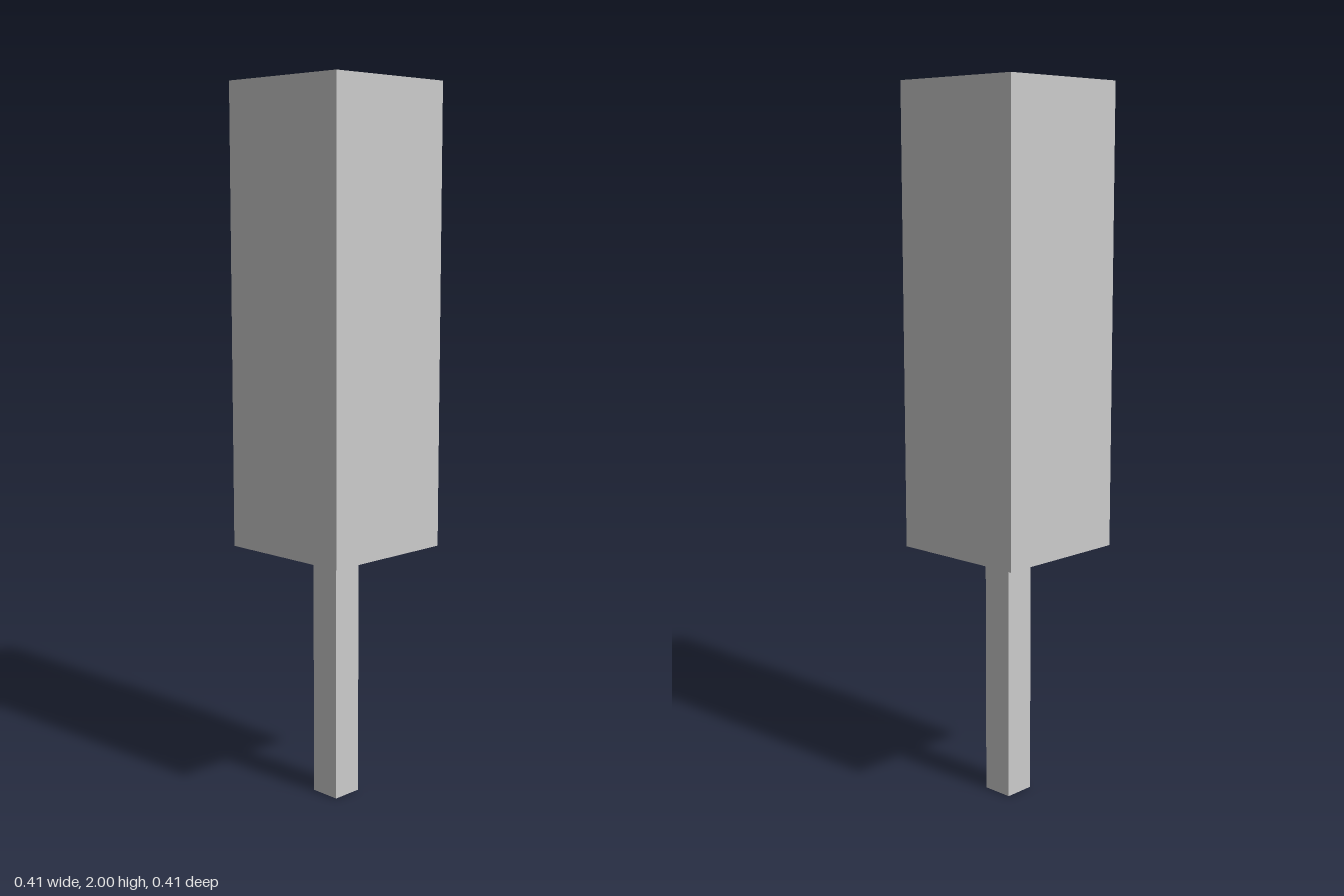
import * as THREE from 'three';

export function createModel() {
  const model = new THREE.Group();
  const material = new THREE.MeshStandardMaterial({ color: 0xcccccc, flatShading: true });

  // Square column standing between two heights
  const addColumn = (name, width, bottom, top) => {
    const mesh = new THREE.Mesh(new THREE.BoxGeometry(width, top - bottom, width), material);
    mesh.name = name;
    mesh.position.y = (bottom + top) / 2;
    model.add(mesh);
  };

  addColumn('stem', 0.09, 0, 0.725); // thin square stem
  addColumn('block', 0.405, 0.725, 2); // tall block on top of it

  return model;
}
